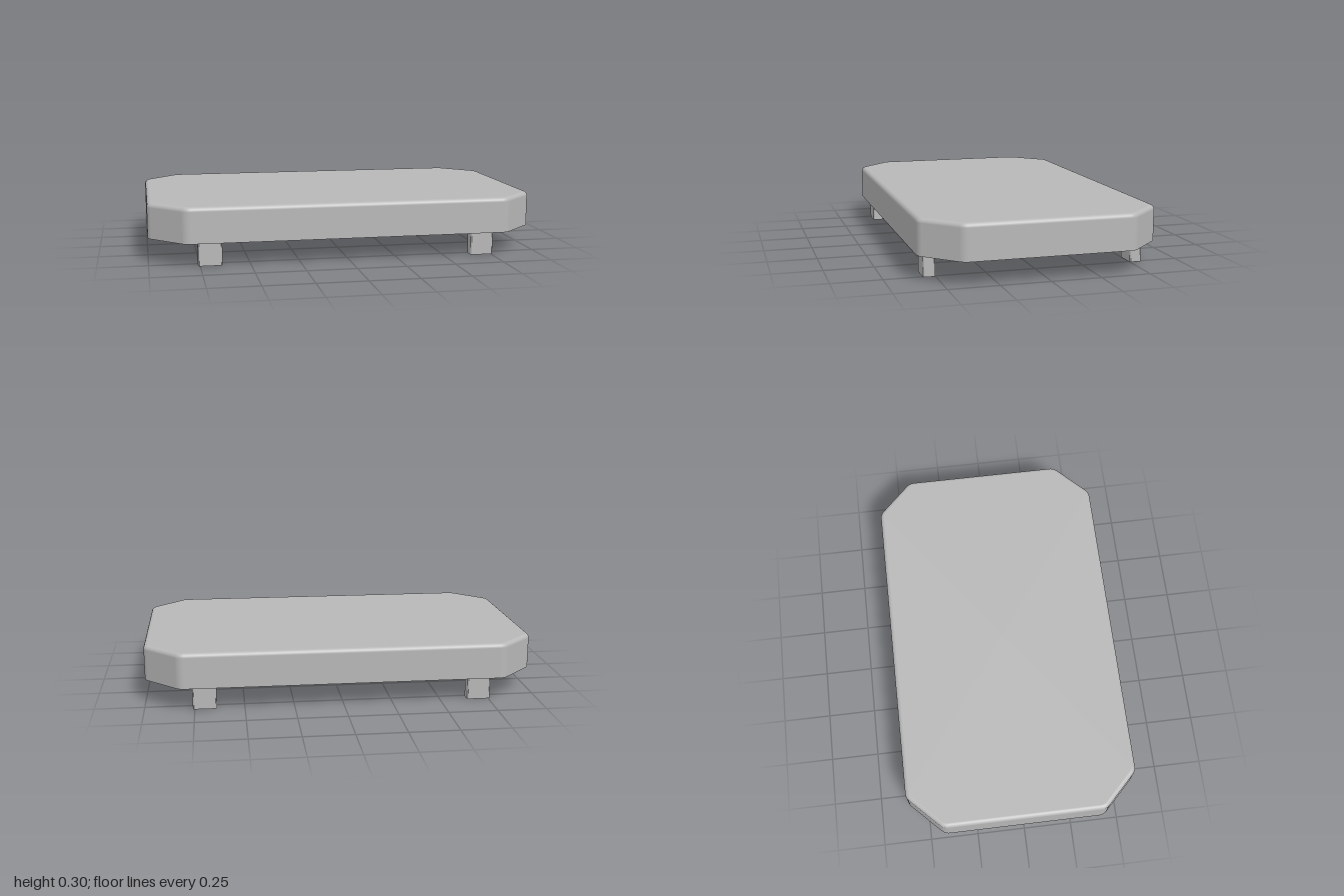
import * as THREE from 'three';

// Rounded, corner-cut rectangle: list of fillet centres with outward directions
function outline(hx, hz, cut, r, steps) {
  const k = r * (Math.SQRT2 - 1);
  const ax = hx - r, az = hz - cut - k; // fillet at the side end of the cut
  const bx = hx - cut - k, bz = hz - r; // fillet at the front end of the cut
  const points = [];
  for (let q = 0; q < 4; q++) {
    const sx = q === 0 || q === 3 ? 1 : -1;
    const sz = q < 2 ? 1 : -1;
    const corner = [];
    for (let f = 0; f < 2; f++) {
      for (let i = 0; i <= steps; i++) {
        const a = (f + i / steps) * Math.PI / 4;
        corner.push({
          cx: sx * (f ? bx : ax), cz: sz * (f ? bz : az),
          nx: sx * Math.cos(a), nz: sz * Math.sin(a),
        });
      }
    }
    // mirrored quarters run backwards, so flip them to keep one direction
    if (sx * sz < 0) corner.reverse();
    points.push(...corner);
  }
  return points;
}

// Skin through rings { y, r, tilt }; tilt turns the normals from sideways to up
function loft(points, rings, capped) {
  const pos = [], nor = [], index = [];
  const n = points.length;
  for (const { y, r, tilt } of rings) {
    for (const p of points) {
      pos.push(p.cx + p.nx * r, y, p.cz + p.nz * r);
      nor.push(p.nx * Math.cos(tilt), Math.sin(tilt), p.nz * Math.cos(tilt));
    }
  }
  for (let j = 0; j < rings.length - 1; j++) {
    for (let i = 0; i < n; i++) {
      const a = j * n + i, b = j * n + (i + 1) % n;
      index.push(a, a + n, b, b, a + n, b + n);
    }
  }
  if (capped) {
    const last = (rings.length - 1) * n, centre = rings.length * n;
    pos.push(0, rings[rings.length - 1].y, 0);
    nor.push(0, 1, 0);
    for (let i = 0; i < n; i++) index.push(centre, last + (i + 1) % n, last + i);
  }
  const geo = new THREE.BufferGeometry();
  geo.setAttribute('position', new THREE.Float32BufferAttribute(pos, 3));
  geo.setAttribute('normal', new THREE.Float32BufferAttribute(nor, 3));
  geo.setIndex(index);
  return geo;
}

export function createModel() {
  const group = new THREE.Group();
  const grey = new THREE.MeshStandardMaterial({ color: 0xb8b8b8, side: THREE.DoubleSide });
  grey.name = 'plain grey';

  // Tray-like top, open underneath, with a softly rounded upper edge
  const height = 0.3, bevel = 0.022, fillet = 0.06;
  const rings = [{ y: 0.12, r: fillet, tilt: 0 }];
  for (let i = 0; i <= 6; i++) {
    const t = i / 6 * Math.PI / 2;
    rings.push({
      y: height - bevel + bevel * Math.sin(t),
      r: fillet - bevel + bevel * Math.cos(t),
      tilt: t,
    });
  }
  const top = new THREE.Mesh(loft(outline(1, 0.6, 0.18, fillet, 5), rings, true), grey);
  top.name = 'tableTop';
  group.add(top);

  // Four hollow legs reaching up to the inside of the top
  const legGeo = loft(outline(0.06, 0.03, 0.006, 0.004, 2), [
    { y: 0, r: 0.004, tilt: 0 },
    { y: height - 0.001, r: 0.004, tilt: 0 },
  ], false);
  for (const [x, xName] of [[0.7, 'Left'], [-0.7, 'Right']]) {
    for (const [z, zName] of [[0.53, 'front'], [-0.53, 'back']]) {
      const leg = new THREE.Mesh(legGeo, grey);
      leg.name = `${zName}${xName}Leg`;
      leg.position.set(x, 0, z);
      group.add(leg);
    }
  }
  return group;
}
